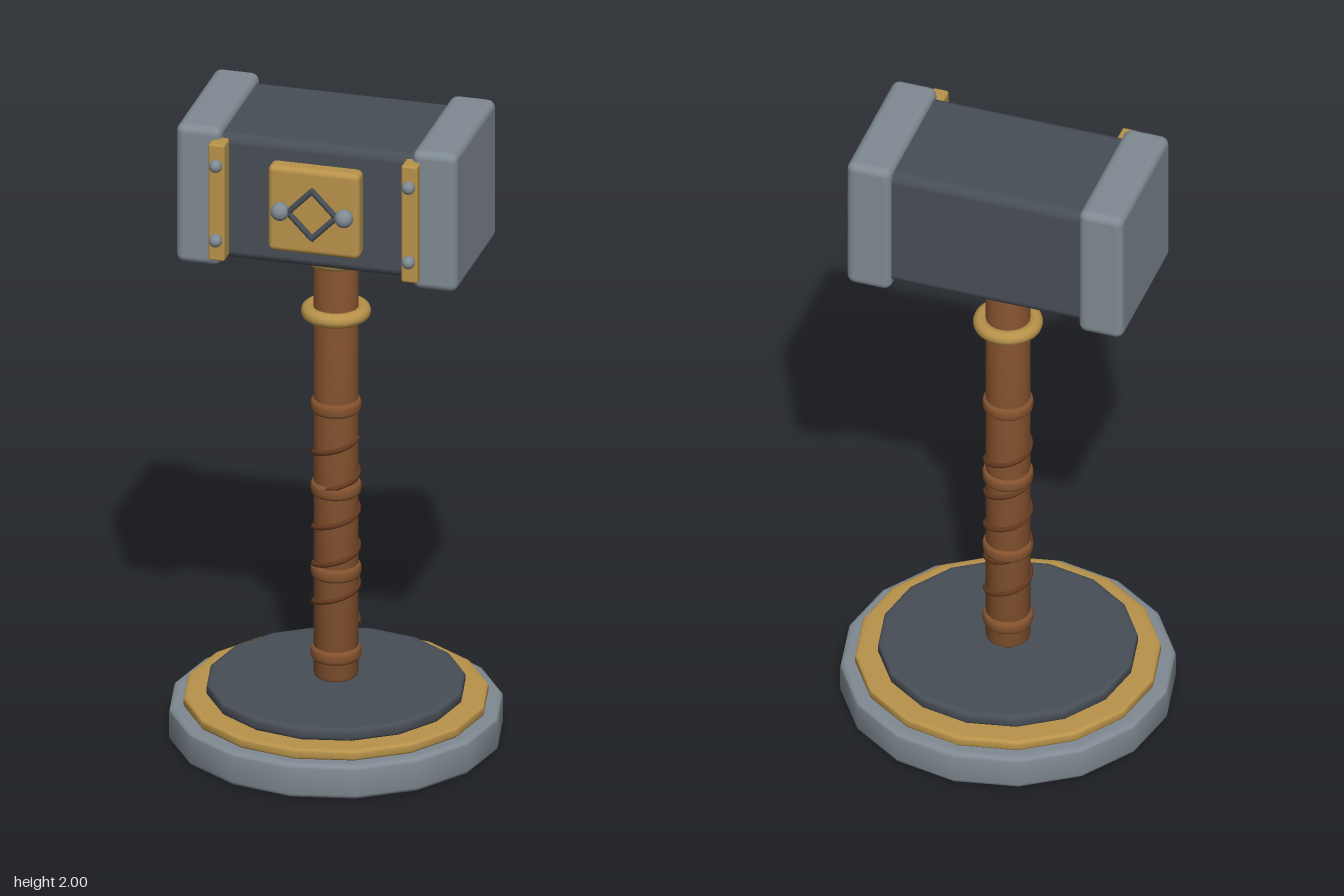
import * as THREE from 'three';
import { toCreasedNormals } from 'three/addons/utils/BufferGeometryUtils.js';
import { RoundedBoxGeometry } from 'three/addons/geometries/RoundedBoxGeometry.js';

function material(name, color) {
  const m = new THREE.MeshStandardMaterial({ color });
  m.name = name;
  return m;
}

export function createModel() {
  const steel = material('steel', 0x808a92);
  const iron = material('dark iron', 0x484e56);
  const brass = material('brass', 0xb8924a);
  const leather = material('leather', 0x85532f);
  const cord = material('dark cord', 0x65391f);

  const model = new THREE.Group();
  model.name = 'hammerOnStand';

  function add(name, geometry, mat, x = 0, y = 0, z = 0) {
    const mesh = new THREE.Mesh(geometry, mat);
    mesh.name = name;
    mesh.position.set(x, y, z);
    model.add(mesh);
    return mesh;
  }

  // Solid disc or rod with rounded rims, standing from y0 to y1
  function roundedDisc(radius, y0, y1, bevel, sides) {
    const inner = radius - bevel;
    const pts = [new THREE.Vector2(0, y0), new THREE.Vector2(inner * 0.97, y0)];
    for (const [cy, start] of [[y0 + bevel, -Math.PI / 2], [y1 - bevel, 0]]) {
      for (let i = 0; i <= 3; i++) {
        const a = start + (i / 3) * Math.PI / 2;
        pts.push(new THREE.Vector2(inner + bevel * Math.cos(a), cy + bevel * Math.sin(a)));
      }
    }
    pts.push(new THREE.Vector2(inner * 0.97, y1), new THREE.Vector2(0, y1));
    return toCreasedNormals(new THREE.LatheGeometry(pts, sides), 0.6);
  }

  // Flat-lying ring
  function ring(name, radius, tube, y, mat) {
    add(name, new THREE.TorusGeometry(radius, tube, 10, 32), mat, 0, y).rotation.x = Math.PI / 2;
  }

  // Stepped stand
  add('standBase', roundedDisc(0.495, 0, 0.107, 0.014, 16), steel);
  add('standTrim', roundedDisc(0.452, 0.105, 0.138, 0.009, 16), brass);
  add('standTop', roundedDisc(0.384, 0.138, 0.177, 0.012, 16), iron);

  // Handle with collars and leather bands
  add('handle', roundedDisc(0.066, 0.187, 1.62, 0.012, 24), leather);
  for (const y of [1.36, 1.545]) ring('collar', 0.081, 0.023, y, brass);
  for (const y of [0.265, 0.53, 0.795, 1.06]) {
    add('gripBand', roundedDisc(0.075, y - 0.022, y + 0.022, 0.013, 24), leather);
  }

  // Cord wound five turns around the grip
  const turns = 5;
  const helix = [];
  for (let i = 0; i <= turns * 16; i++) {
    const a = (i / 16) * Math.PI * 2;
    helix.push(new THREE.Vector3(0.067 * Math.cos(a), 0.36 + (i / 16) * 0.12, -0.067 * Math.sin(a)));
  }
  add('gripCord', new THREE.TubeGeometry(new THREE.CatmullRomCurve3(helix), turns * 20, 0.008, 6), cord);

  // Head block and striking faces
  add('headBlock', new RoundedBoxGeometry(0.64, 0.4, 0.41, 3, 0.03), iron, 0, 1.778, 0);
  for (const s of [-1, 1]) {
    add('strikingFace', new RoundedBoxGeometry(0.138, 0.445, 0.445, 3, 0.025), steel, s * 0.361, 1.778, 0);

    // Riveted strap on the front
    add('strap', new RoundedBoxGeometry(0.05, 0.375, 0.07, 2, 0.007), brass, s * 0.295, 1.778, 0.22);
    for (const y of [1.66, 1.9]) {
      add('rivet', new THREE.SphereGeometry(0.02, 16, 10), steel, s * 0.295, y, 0.262);
    }
    add('emblemStud', new THREE.SphereGeometry(0.028, 16, 12), steel, s * 0.098, 1.778, 0.263);
  }

  // Front plate with a diamond of four rods
  add('frontPlate', new RoundedBoxGeometry(0.28, 0.275, 0.06, 3, 0.018), brass, 0, 1.778, 0.22);
  const corners = [[0.074, 0], [0, 0.076], [-0.074, 0], [0, -0.076]];
  corners.forEach(([x, y], i) => {
    const [nx, ny] = corners[(i + 1) % 4];
    const length = Math.hypot(nx - x, ny - y) + 0.008;
    const rod = add('diamondRod', new THREE.CylinderGeometry(0.009, 0.009, length, 10), iron,
      (x + nx) / 2, 1.778 + (y + ny) / 2, 0.262);
    rod.rotation.z = Math.atan2(ny - y, nx - x) - Math.PI / 2;
  });

  return model;
}
